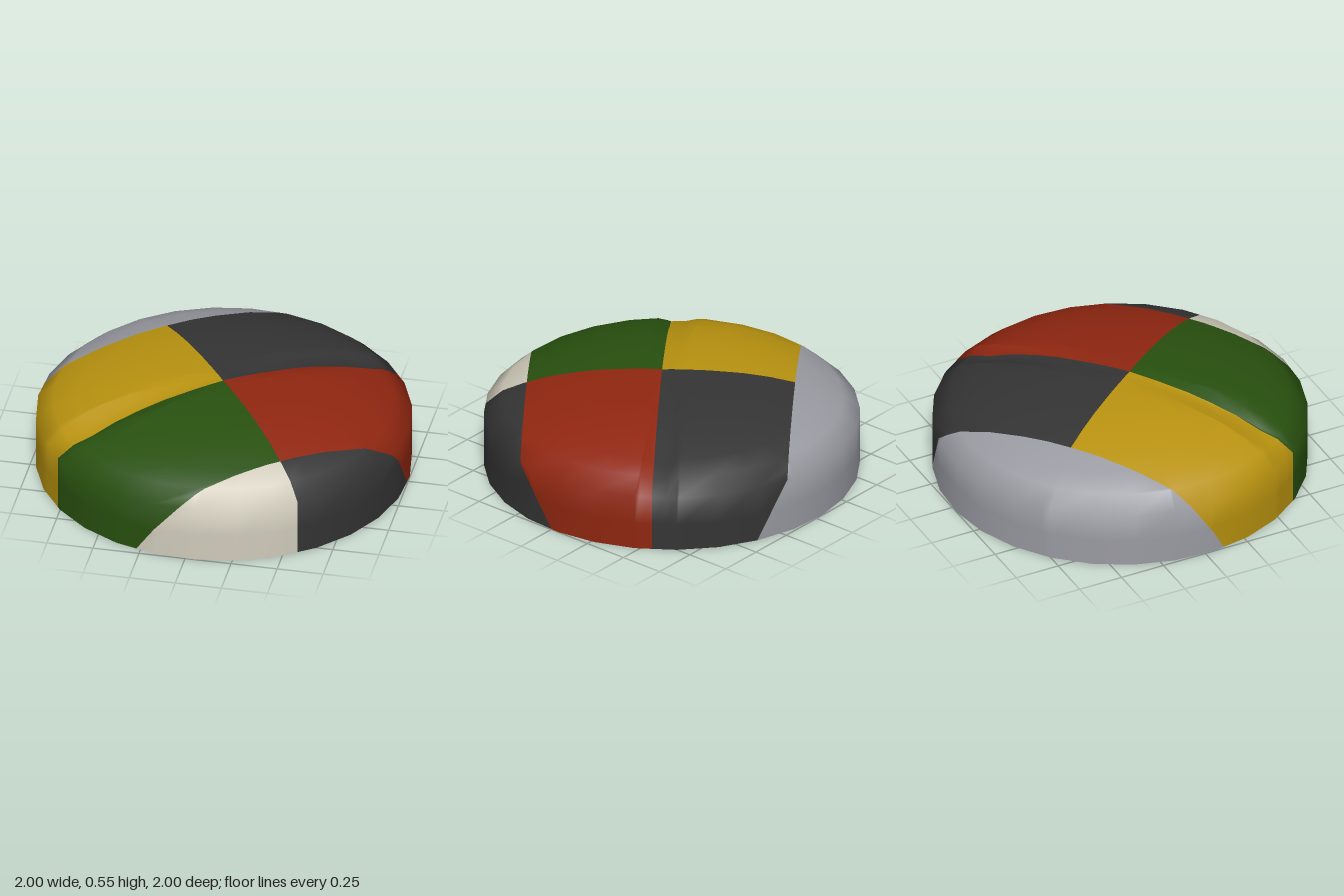
import * as THREE from 'three';
import { mergeVertices } from 'three/addons/utils/BufferGeometryUtils.js';

const SIDES = 28;
const RIM = 0.31; // height of the upright band
// dome profile: radius, height
const PROFILE = [[1, 0], [1, 0.15], [1, RIM], [0.91, 0.39], [0.8, 0.437], [0.67, 0.48],
  [0.52, 0.511], [0.38, 0.53], [0.2, 0.541], [0, 0.545]];

// panel axes: u runs along the main seam, v across it
const along = (p) => 0.8 * p.x - 0.6 * p.z;
const across = (p) => 0.6 * p.x + 0.8 * p.z;
const band = (p) => Math.min(1, p.y / RIM);

// seams, as fields that are zero on the seam
const crossSeam = (p) => along(p) + 0.03;
const mainSeam = (p) => across(p) - 0.054;
const frontSeam = (p) => across(p) - (0.6 + 0.174 * band(p));
const backSeam = (p) => across(p) + (0.5 + 0.154 * band(p));
const grooveLines = [-0.09, -0.02, 0.12].map((v) => (p) => across(p) - v);
const cuts = [crossSeam, mainSeam, frontSeam, backSeam, ...grooveLines];

// cut a convex polygon along the zero line of a field
function split(poly, field) {
  const a = [], b = [];
  poly.forEach((p, i) => {
    const q = poly[(i + 1) % poly.length];
    const f = field(p), g = field(q);
    if (f >= -1e-6) a.push(p);
    if (f <= 1e-6) b.push(p);
    if ((f > 1e-6 && g < -1e-6) || (f < -1e-6 && g > 1e-6)) {
      const m = p.clone().lerp(q, f / (f - g));
      a.push(m);
      b.push(m);
    }
  });
  return [a, b].filter((s) => s.length > 2);
}

// shallow fold that sinks the dome along the main seam
function sink(p) {
  if (p.y <= RIM + 0.001) return p.clone();
  const r = Math.hypot(p.x, p.z), v = across(p);
  const width = v < 0.03 ? 0.12 : 0.09;
  const fold = Math.max(0, 1 - Math.abs(v - 0.03) / width);
  const depth = 0.07 * r * Math.min(1, Math.max(0, (1 - r) / 0.2));
  return new THREE.Vector3(p.x, p.y - depth * fold, p.z);
}

function panelOf(c) {
  const left = crossSeam(c) > 0;
  if (backSeam(c) < 0) return 'backPanel';
  if (frontSeam(c) > 0) return left ? 'frontLeftPanel' : 'frontRightPanel';
  if (mainSeam(c) > 0) return left ? 'leftPanel' : 'middleFrontPanel';
  return left ? 'middleBackPanel' : 'rightPanel';
}

export function createModel() {
  const material = (name, color) =>
    new THREE.MeshStandardMaterial({ name, color, side: THREE.DoubleSide });
  const black = material('black', 0x343434);
  const panels = {
    backPanel: material('grey', 0x9a9ba2),
    frontLeftPanel: black,
    frontRightPanel: material('cream', 0xcfcaba),
    leftPanel: material('red', 0x8f2610),
    middleFrontPanel: material('green', 0x28500f),
    middleBackPanel: black,
    rightPanel: material('yellow', 0xb8920f),
  };

  const point = (ring, k) => {
    const t = THREE.MathUtils.degToRad(2.8) + ((k % SIDES) / SIDES) * Math.PI * 2;
    const [r, y] = PROFILE[ring];
    return new THREE.Vector3(-Math.sin(t) * r, y, -Math.cos(t) * r);
  };

  // dome faces, cut along the seams
  const positions = [], owners = [];
  for (let i = 0; i < PROFILE.length - 1; i++) {
    for (let k = 0; k < SIDES; k++) {
      const face = [point(i, k), point(i, k + 1), point(i + 1, k + 1)];
      if (PROFILE[i + 1][0] > 0) face.push(point(i + 1, k));
      let pieces = [face];
      for (const cut of cuts) pieces = pieces.flatMap((p) => split(p, cut));
      for (const piece of pieces) {
        const centre = new THREE.Vector3();
        piece.forEach((p) => centre.addScaledVector(p, 1 / piece.length));
        const panel = panelOf(centre);
        const pts = piece.map(sink);
        for (let j = 1; j < pts.length - 1; j++) {
          for (const p of [pts[0], pts[j], pts[j + 1]]) positions.push(p.x, p.y, p.z);
          owners.push(panel);
        }
      }
    }
  }

  // one smooth skin, so shading runs on across the seams
  let skin = new THREE.BufferGeometry();
  skin.setAttribute('position', new THREE.Float32BufferAttribute(positions, 3));
  skin = mergeVertices(skin, 1e-4);
  skin.computeVertexNormals();

  // one mesh for each coloured panel
  const group = new THREE.Group();
  group.name = 'patchworkCap';
  for (const [name, mat] of Object.entries(panels)) {
    const index = [];
    owners.forEach((owner, t) => {
      if (owner !== name) return;
      for (let j = 0; j < 3; j++) index.push(skin.index.getX(t * 3 + j));
    });
    const indexed = new THREE.BufferGeometry();
    indexed.setAttribute('position', skin.attributes.position);
    indexed.setAttribute('normal', skin.attributes.normal);
    indexed.setIndex(index);
    const mesh = new THREE.Mesh(indexed.toNonIndexed(), mat);
    mesh.name = name;
    group.add(mesh);
  }
  return group;
}
